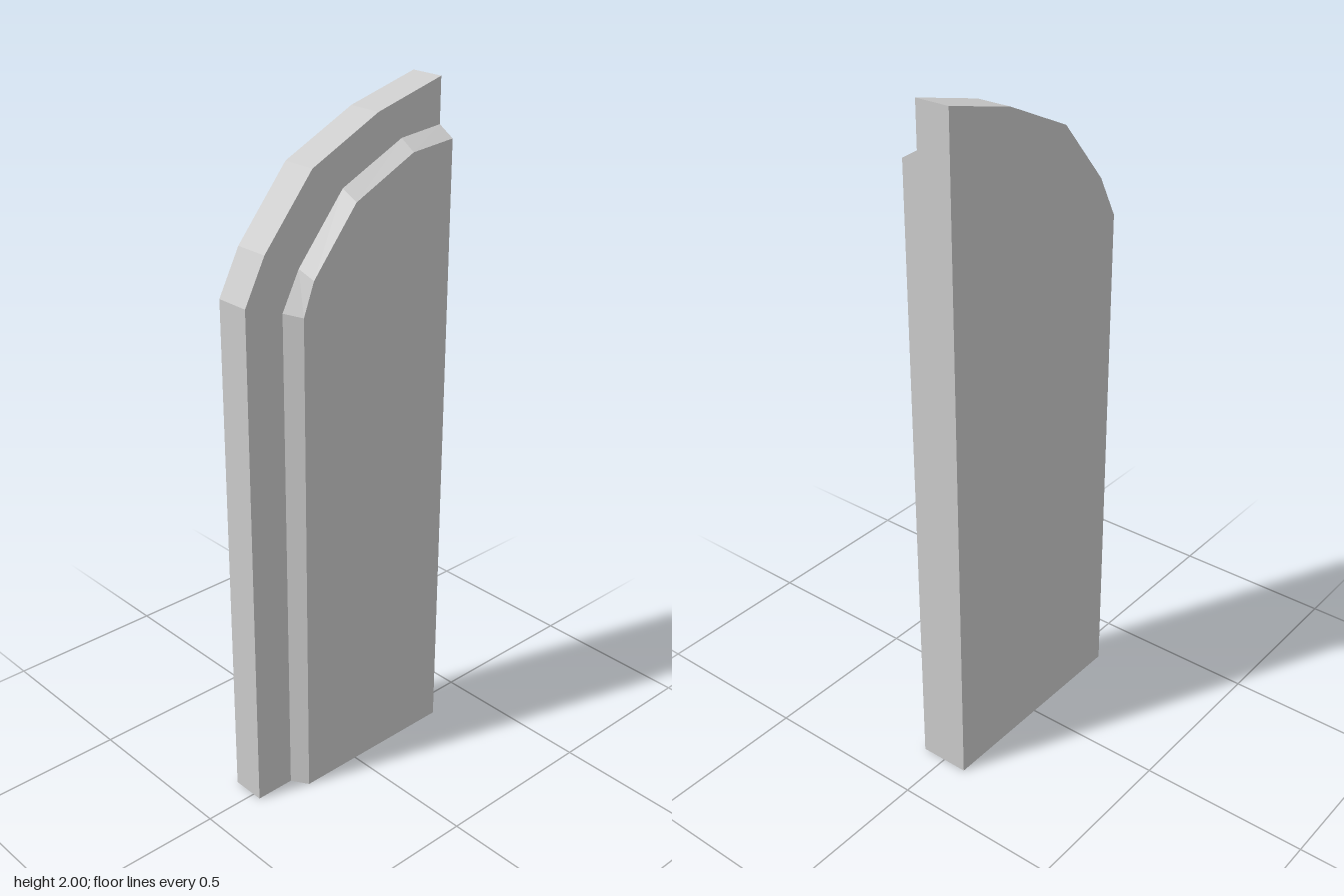
import * as THREE from 'three';

// Solid between two matching convex outlines of [z, y] points, at x = x0 and x = x1.
// Outlines run from the front foot, up over the arch, to the back foot.
function loft(outline0, x0, outline1, x1, closeStart) {
  const a = outline0.map(([z, y]) => [x0, y, z]);
  const b = outline1.map(([z, y]) => [x1, y, z]);
  const n = a.length, pos = [];
  const tri = (...pts) => pts.forEach((p) => pos.push(...p));
  for (let i = 0; i < n; i++) {
    const j = (i + 1) % n;
    tri(a[i], b[i], a[j]);
    tri(b[i], b[j], a[j]);
  }
  for (let i = 1; i < n - 1; i++) {
    tri(b[0], b[i + 1], b[i]);
    if (closeStart) tri(a[0], a[i], a[i + 1]);
  }
  const geometry = new THREE.BufferGeometry();
  geometry.setAttribute('position', new THREE.Float32BufferAttribute(pos, 3));
  geometry.computeVertexNormals();
  return geometry;
}

export function createModel() {
  const group = new THREE.Group();
  group.name = 'halfArchPanel';
  const material = new THREE.MeshStandardMaterial({ color: 0xcccccc, flatShading: true });
  const back = -0.338;

  const add = (name, geometry) => {
    const mesh = new THREE.Mesh(geometry, material);
    mesh.name = name;
    group.add(mesh);
  };

  // Backing slab with a faceted half-arch top
  const slab = [[0.338, 0], [0.338, 1.525], [0.272, 1.65], [0.112, 1.838],
    [-0.113, 1.942], [back, 2], [back, 0]];
  add('slab', loft(slab, -0.075, slab, 0.027, true));

  // Raised panel whose curved edge is bevelled inwards
  const foot = [[0.217, 0], [0.217, 1.483], [0.161, 1.589], [0.01, 1.768],
    [-0.197, 1.861], [back, 1.873], [back, 0]];
  const face = [[0.187, 0], [0.187, 1.476], [0.152, 1.567], [0.007, 1.741],
    [-0.194, 1.833], [back, 1.844], [back, 0]];
  add('raisedPanel', loft(foot, 0.027, face, 0.075, false));

  return group;
}
